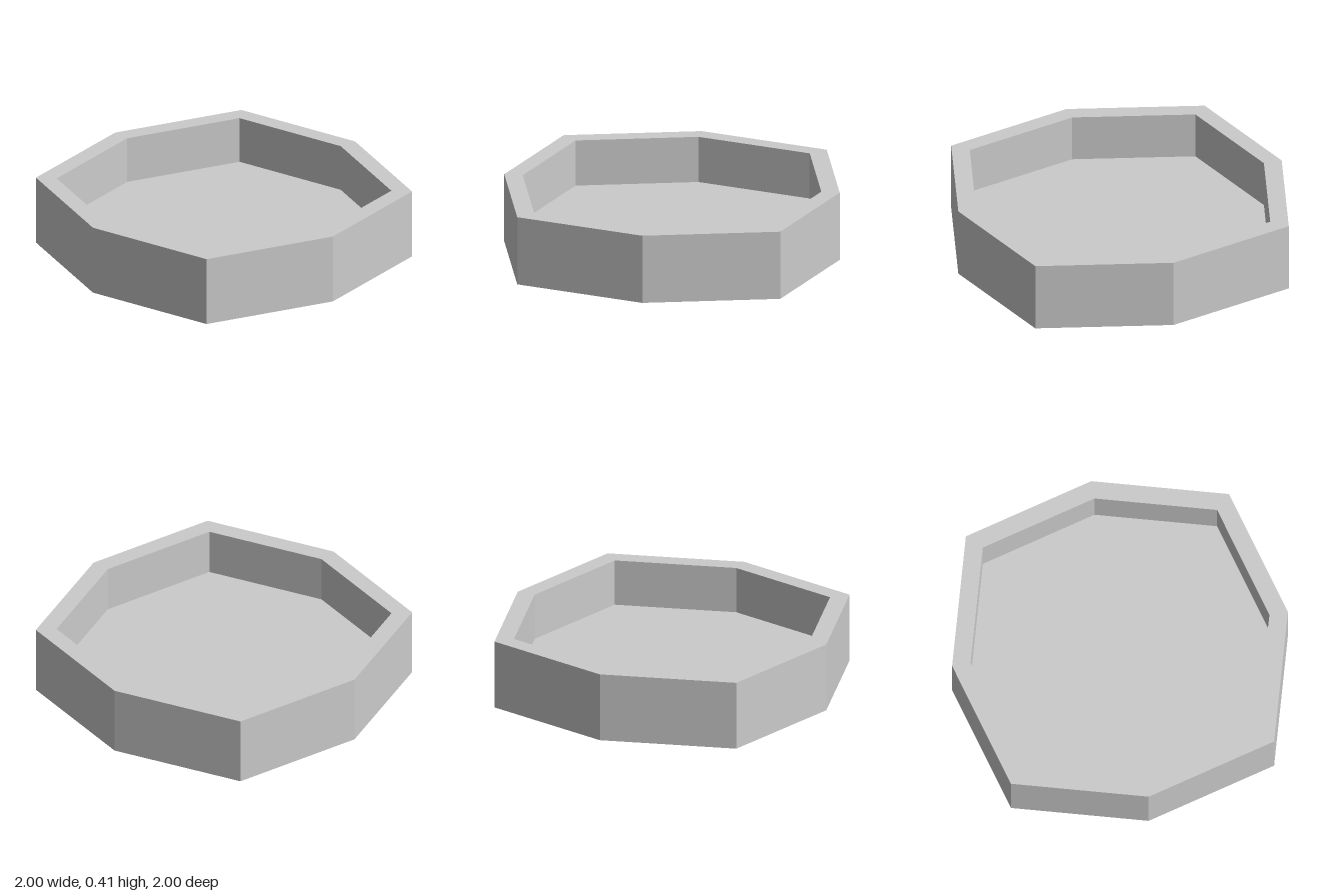
import * as THREE from 'three';

const HEIGHT = 0.415;   // rim height
const FLOOR = 0.136;    // height of the inner floor
const INNER = 0.89;     // inner wall, as a fraction of the outer
const CORNER = 0.784;   // x and z of the diagonal corners

export function createModel() {
  const group = new THREE.Group();
  group.name = 'octagonalTray';

  // Closed profile: underside, outer wall, rim, inner wall, floor
  const profile = [
    [0, 0], [1, 0], [1, HEIGHT], [INNER, HEIGHT], [INNER, FLOOR], [0, FLOOR],
  ].map(([x, y]) => new THREE.Vector2(x, y));
  const lathe = new THREE.LatheGeometry(profile, 8);

  // Push the four diagonal corners outwards
  const pos = lathe.attributes.position;
  const stretch = CORNER * Math.SQRT2;
  for (let i = 0; i < pos.count; i++) {
    const spoke = Math.floor(i / profile.length);
    if (spoke % 2 === 1) {
      pos.setX(i, pos.getX(i) * stretch);
      pos.setZ(i, pos.getZ(i) * stretch);
    }
  }

  // Flat facets
  const geometry = lathe.toNonIndexed();
  geometry.computeVertexNormals();
  const material = new THREE.MeshStandardMaterial({ color: 0xcccccc, flatShading: true });
  const tray = new THREE.Mesh(geometry, material);
  tray.name = 'tray';
  group.add(tray);
  return group;
}
